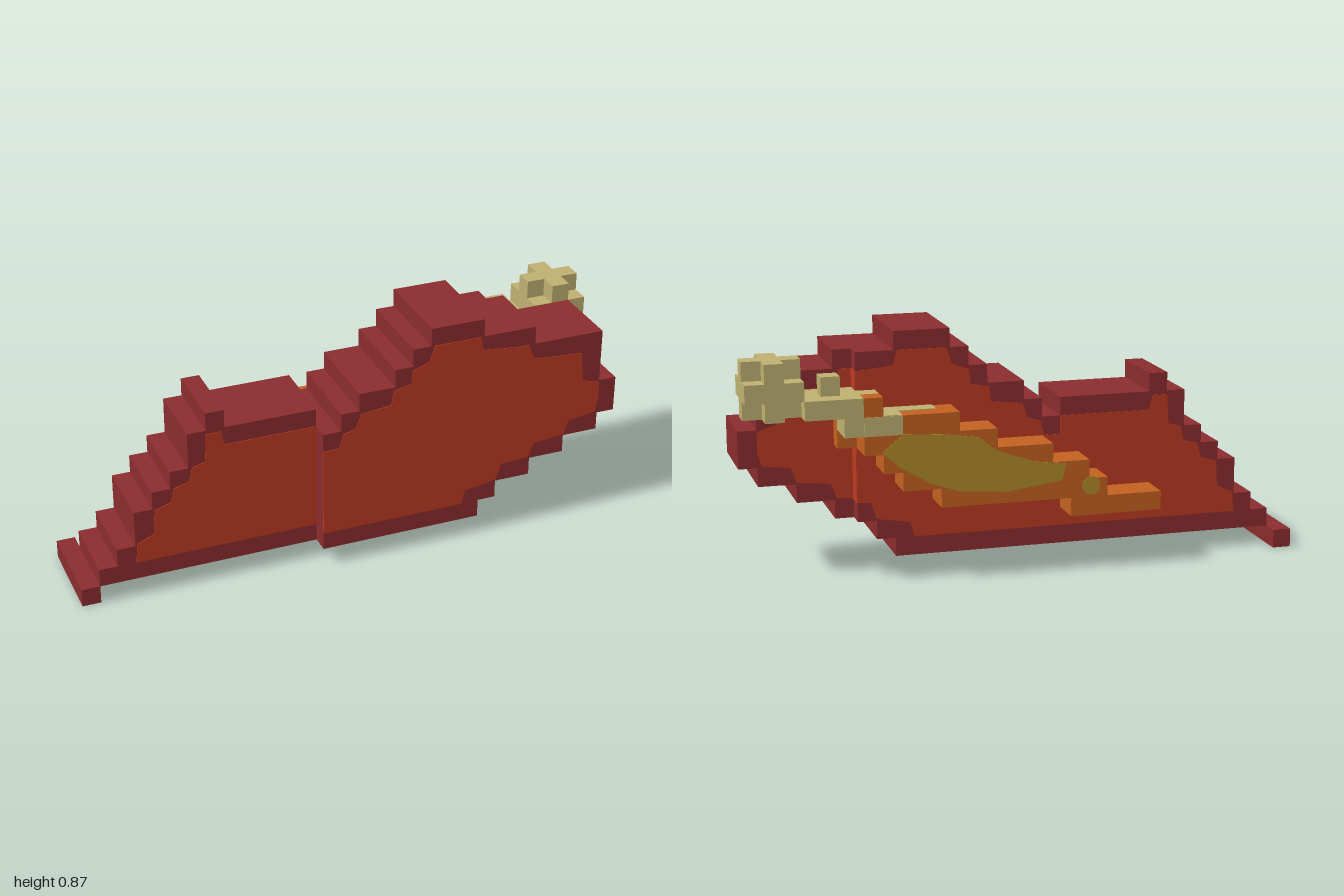
import * as THREE from 'three';

const mat = (name, color) => {
  const m = new THREE.MeshStandardMaterial({ color });
  m.name = name;
  return m;
};

// Built on a block grid (1 unit = one block), scaled down at the end.
export function createModel() {
  const maroon = mat('maroon', 0x8b2c2e);
  const red = mat('red', 0xbc3a22);
  const orange = mat('orange', 0xc26020);
  const ochre = mat('ochre', 0xb08a28);
  const khaki = mat('khaki', 0xbfb070);
  const model = new THREE.Group();

  const add = (name, geometry, material) => {
    const mesh = new THREE.Mesh(geometry, material);
    mesh.name = name;
    model.add(mesh);
    return mesh;
  };
  const box = (name, material, x0, x1, y0, y1, z0, z1) =>
    add(name, new THREE.BoxGeometry(x1 - x0, y1 - y0, z1 - z0), material)
      .position.set((x0 + x1) / 2, (y0 + y1) / 2, (z0 + z1) / 2);
  const slab = (name, material, points, z0, z1) => {
    const shape = new THREE.Shape(points.map(p => new THREE.Vector2(...p)));
    const g = new THREE.ExtrudeGeometry(shape, { depth: z1 - z0, bevelEnabled: false });
    g.translate(0, 0, z0);
    return add(name, g, material);
  };
  // Stepped outline from columns [x0, x1, bottom, top]
  const steps = cols => [
    ...cols.flatMap(([a, b, lo]) => [[a, lo], [b, lo]]),
    ...[...cols].reverse().flatMap(([a, b, , hi]) => [[b, hi], [a, hi]]),
  ].filter((p, i, all) => !i || p[0] !== all[i - 1][0] || p[1] !== all[i - 1][1]);

  // Stepped body: thin tail half, thick middle, recessed end
  box('tailTip', maroon, -15, -14, 0, 1, -2.5, 2.5);
  slab('tailBody', maroon, steps([
    [-14, -13, 1, 2], [-13, -12, 1, 3], [-12, -11, 1, 5], [-11, -10, 1, 6],
    [-10, -9, 1, 7], [-9, -8, 1, 9], [-8, -7, 1, 10], [-7, -2, 1, 9],
  ]), -1.5, 2.5);
  slab('middleBody', maroon, steps([
    [-2, -1, 1, 8], [-1, 0, 1, 9], [0, 2, 1, 10], [2, 3, 1, 11],
    [3, 4, 1, 12], [4, 7, 1, 13], [7, 8, 2, 12], [8, 9, 3, 12],
  ]), -1.5, 3.5);
  slab('endBody', maroon, steps([
    [9, 10, 3, 12], [10, 12, 4, 11], [12, 14, 5, 11], [14, 15, 6, 8],
  ]), -0.5, 3.5);

  // Red side panels with softened stepped edges
  const panels = [
    ['tailPanel', 2.5, -1.5, [
      [-12, 2], [-2, 2], [-2, 8], [-7, 8], [-7.2, 8.8], [-8, 8.8], [-8.1, 7.2], [-8.8, 7],
      [-9, 6.2], [-9.8, 6], [-10, 5.2], [-10.9, 4.9], [-11, 3.5], [-11.9, 3.1]]],
    ['middlePanel', 3.5, -1.5, [
      [-2, 2], [6, 2], [6.2, 2.8], [8, 3.1], [8.3, 4], [9, 4.05], [9, 11], [7, 11.2],
      [6.8, 12], [4.2, 12], [3.9, 11.1], [3, 10.8], [2.9, 10], [1.9, 9.8], [1.8, 9],
      [0.1, 8.8], [-0.2, 8], [-0.9, 7.8], [-1.1, 7], [-2, 7]]],
    ['endPanel', 3.5, -0.5, [
      [9, 4.05], [9.9, 4.1], [10.2, 4.9], [12, 5.1], [12.3, 5.9], [13.8, 6.1], [14, 6.8],
      [14, 7.9], [13, 8.2], [12.8, 9.9], [10, 10.1], [9.6, 11], [9, 11]]],
  ];
  for (const [name, front, back, pts] of panels) {
    slab(name + 'Front', red, pts, front - 0.04, front + 0.04);
    slab(name + 'Back', red, pts, back - 0.04, back + 0.04);
  }
  box('recessPanel', red, 8.96, 9.04, 4, 11, -1.5, -0.5);

  // Stepped blade on the back
  slab('blade', orange, steps([
    [-7, -4, 3, 4], [-4, -3, 3, 5], [-3, -2, 3, 6], [-2, -1, 4, 6], [-1, 2, 4, 7],
    [2, 4, 4, 8], [4, 5, 4, 9], [5, 7, 5, 9], [7, 8, 6, 9], [8, 9, 7, 9],
  ]), -3.5, -1.5);
  box('bladeRoot', orange, 9, 10, 7, 9, -1.5, -0.5);
  slab('bladeMarking', ochre, [
    [8.1, 7.1], [7.2, 6.3], [5.5, 5.3], [4, 4.8], [1.5, 4.6], [-1.5, 5], [-1.7, 5.9],
    [0, 6.1], [2, 6.8], [3, 7.6], [5, 7.9], [7, 8]], -3.54, -3.46);
  const dot = add('bladeDot', new THREE.CylinderGeometry(0.5, 0.5, 0.08, 12), ochre);
  dot.rotation.x = Math.PI / 2;
  dot.position.set(-3.1, 4.6, -3.5);

  // Khaki inlays leading into the guard
  box('topInlay', khaki, 5, 8, 8.96, 9.04, -2.5, -1.5);
  box('cornerInlay', khaki, 7, 8, 8.96, 9.04, -3.5, -2.5);
  box('backInlay', khaki, 7, 9, 8, 9, -3.54, -3.4);

  // Guard and grip
  box('guardLower', khaki, 9, 10, 8, 9, -3.5, -1.5);
  box('guardInner', khaki, 8, 9, 9, 10, -2.5, -1.5);
  box('guardStud', orange, 8, 9, 9, 10, -3.5, -2.5);
  box('grip', khaki, 9, 12, 9, 10, -3.5, -0.5);
  box('gripNub', khaki, 10, 11, 10, 11, -2.5, -1.5);

  // Knob: three crossed plates leave the cube corners open
  box('knobAcross', khaki, 13, 14, 9, 12, -3.5, -0.5);
  box('knobFlat', khaki, 12, 15, 10, 11, -3.5, -0.5);
  box('knobUpright', khaki, 12, 15, 9, 12, -2.5, -1.5);

  model.scale.setScalar(1 / 15);
  const root = new THREE.Group();
  root.name = 'sheathedBlade';
  root.add(model);
  return root;
}
